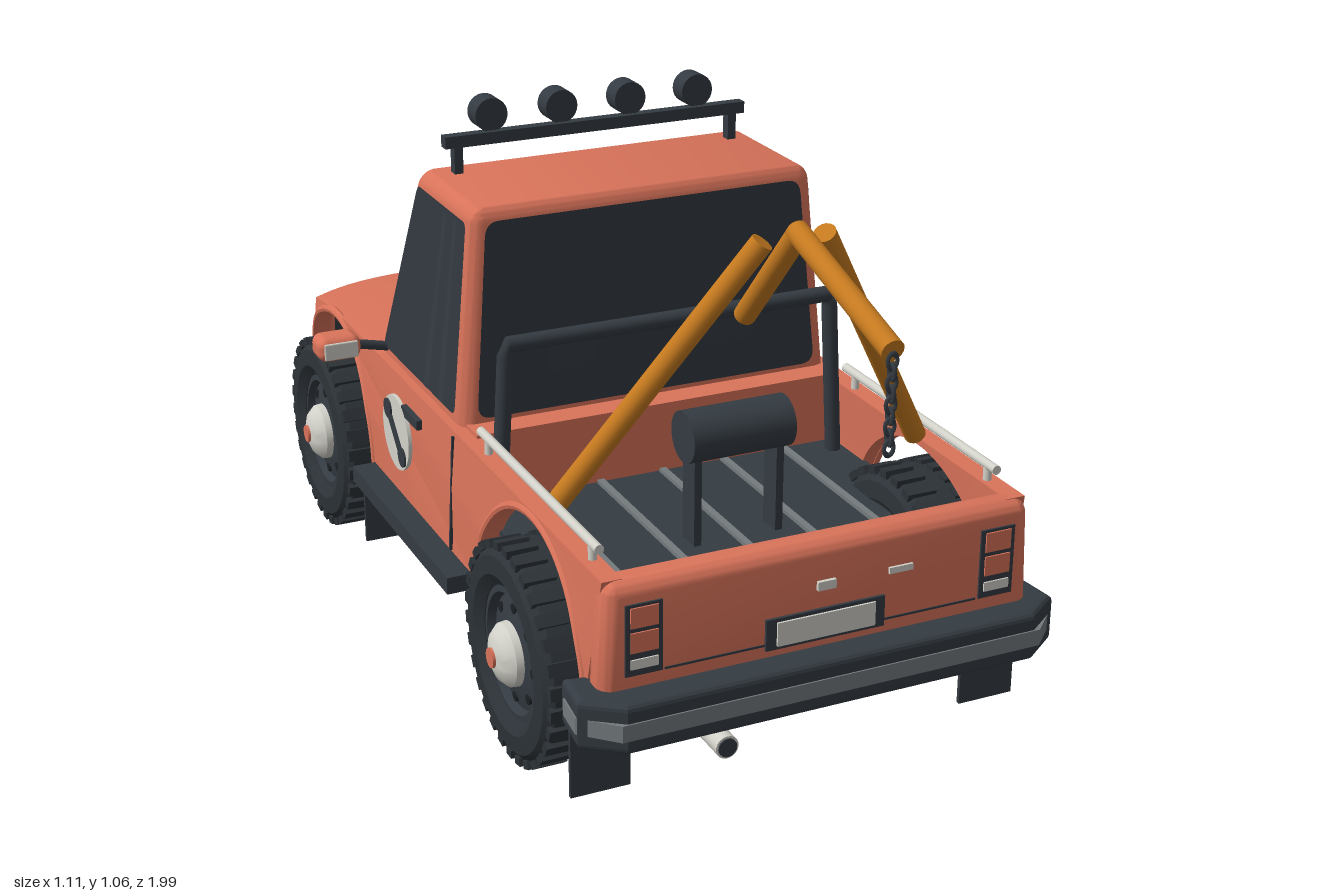
import * as THREE from 'three';
import { mergeGeometries, toCreasedNormals } from 'three/addons/utils/BufferGeometryUtils.js';
import { RoundedBoxGeometry } from 'three/addons/geometries/RoundedBoxGeometry.js';

const mat = (name, color, side = THREE.FrontSide) => {
  const m = new THREE.MeshStandardMaterial({ color, side });
  m.name = name;
  return m;
};

export function createModel() {
  const truck = new THREE.Group();
  truck.name = 'towTruck';
  const paint = mat('coral paint', 0xd9735a);
  const dark = mat('dark trim', 0x343b42);
  const rubber = mat('tyre rubber', 0x2c3237);
  const glass = mat('dark glass', 0x31383f, THREE.DoubleSide);
  const light = mat('pale grey', 0xd2d1c9);
  const steel = mat('mid grey', 0x747a7d);
  const ochre = mat('crane ochre', 0xc67a1f);
  const amber = mat('amber lens', 0xe0962a);
  const black = mat('underbody black', 0x1d2124);

  const add = (name, geo, m, x = 0, y = 0, z = 0, parent = truck) => {
    const mesh = new THREE.Mesh(geo, m);
    mesh.name = name;
    mesh.position.set(x, y, z);
    parent.add(mesh);
    return mesh;
  };
  const box = (name, m, w, h, d, x, y, z) => add(name, new THREE.BoxGeometry(w, h, d), m, x, y, z);
  const V = (x, y, z) => new THREE.Vector3(x, y, z);
  const rod = (name, m, a, b, r) => {
    const mesh = add(name, new THREE.CylinderGeometry(r, r, a.distanceTo(b), 18), m);
    mesh.position.copy(a).lerp(b, 0.5);
    mesh.quaternion.setFromUnitVectors(V(0, 1, 0), b.clone().sub(a).normalize());
    return mesh;
  };
  const warp = (geo, rule) => {
    const p = geo.attributes.position;
    for (let i = 0; i < p.count; i++) p.setXYZ(i, ...rule(p.getX(i), p.getY(i), p.getZ(i)));
    geo.computeVertexNormals();
    return toCreasedNormals(geo, 0.6);
  };

  // Body rule: sides lean in above the waist, the nose is rounded in plan
  const bend = (x, y, z) => {
    const t = Math.min(1, Math.max(0, (-0.8 - z) / 0.2));
    const k = (1 - 0.2 * Math.max(0, y - 0.35)) * (1 - 0.14 * t * t);
    return [x * k, y, z + 0.07 * t * Math.pow(Math.abs(x) / 0.43, 4)];
  };
  const bentBox = (name, m, w, h, d, x, y, z) =>
    add(name, warp(new THREE.BoxGeometry(w, h, d, 10, 1, 1).translate(x, y, z), bend), m);

  // Bonnet and nose profile, as [z, y] from the cab forward and down
  const nose = [[-0.38, 0.488], [-0.6, 0.487], [-0.72, 0.482], [-0.84, 0.468], [-0.92, 0.45], [-0.958, 0.435],
    [-0.978, 0.418], [-0.985, 0.4], [-0.985, 0.33], [-0.97, 0.27], [-0.93, 0.225]];
  const rows = [...nose].reverse();
  const bonnet = new THREE.PlaneGeometry(0.86, 1, 20, rows.length - 1);
  let n = 0;
  add('bonnet', warp(bonnet, (x) => {
    const [z, y] = rows[Math.floor(n++ / 21)];
    const crown = y > 0.41 ? 0.015 * (1 - Math.pow(x / 0.43, 4)) : 0;
    return bend(x, y + crown, z);
  }), paint);

  // Side panels with open wheel arches
  const side = new THREE.Shape();
  side.moveTo(0.78, 0.22);
  for (const z of [0.47, -0.67]) side.absarc(z, 0.22, 0.255, 0, Math.PI, false);
  rows.forEach(([z, y]) => side.lineTo(z, y));
  side.lineTo(0.78, 0.49);
  for (const s of [1, -1]) {
    const g = new THREE.ExtrudeGeometry(side, { depth: 0.04, bevelEnabled: false, curveSegments: 28 });
    g.rotateY(-Math.PI / 2).translate(s > 0 ? 0.43 : -0.39, 0, 0);
    add('sidePanel', warp(g, bend), paint);
    for (const z of [0.47, -0.67]) {
      const lip = new THREE.TorusGeometry(0.26, 0.009, 8, 32, Math.PI);
      add('wheelArchLip', warp(lip.rotateY(-Math.PI / 2).translate(s * 0.426, 0.22, z), bend), paint);
    }
  }
  add('tailgate', warp(new RoundedBoxGeometry(0.86, 0.27, 0.07, 4, 0.028).translate(0, 0.355, 0.765), bend), paint);
  box('bedFrontWall', paint, 0.78, 0.28, 0.06, 0, 0.355, 0.095);
  box('underbody', black, 0.8, 0.012, 1.7, 0, 0.21, -0.07);

  // Load bed
  box('bedFloor', dark, 0.79, 0.012, 0.63, 0, 0.345, 0.43);
  for (const x of [-0.27, -0.135, 0, 0.135, 0.27]) box('bedRib', steel, 0.014, 0.008, 0.6, x, 0.355, 0.43);

  // Cab: a rounded block whose faces lean inward; windows follow the same rule
  const cabRule = (x, y, z) => {
    const t = y / 0.43, rear = 0.07 - 0.02 * t, front = -0.43 + 0.18 * t;
    const crown = y > 0.42 ? 0.012 * (1 - (x / 0.4) ** 2) : 0;
    return [x * (1 - 0.1 * t), 0.49 + y + crown, front + (z + 0.25) / 0.5 * (rear - front)];
  };
  add('cab', warp(new RoundedBoxGeometry(0.8, 0.46, 0.5, 4, 0.03).translate(0, 0.2, 0), cabRule), paint);
  const pane = (w, y0, y1, r) => {
    const s = new THREE.Shape(), h = w / 2;
    s.moveTo(-h + r, y0).lineTo(h - r, y0).quadraticCurveTo(h, y0, h, y0 + r);
    s.lineTo(h, y1 - r).quadraticCurveTo(h, y1, h - r, y1);
    s.lineTo(-h + r, y1).quadraticCurveTo(-h, y1, -h, y1 - r);
    s.lineTo(-h, y0 + r).quadraticCurveTo(-h, y0, -h + r, y0);
    return new THREE.ShapeGeometry(s, 5);
  };
  add('rearWindow', warp(pane(0.74, 0.015, 0.405, 0.03).translate(0, 0, 0.254), cabRule), glass);
  add('windscreen', warp(pane(0.74, 0.025, 0.405, 0.03).rotateY(Math.PI).translate(0, 0, -0.255), cabRule), glass);
  for (const s of [1, -1]) {
    const sidePane = (w, z, x, y0, y1, r) =>
      warp(pane(w, y0, y1, r).rotateY(s * Math.PI / 2).translate(s * x, 0, z), cabRule);
    add('sideWindow', sidePane(0.43, 0, 0.404, 0.015, 0.4, 0.02), glass);
    add('windowPillar', sidePane(0.028, 0.145, 0.409, 0.02, 0.395, 0.005), dark);
    add('windowPillar', sidePane(0.028, 0.06, 0.409, 0.02, 0.395, 0.005), dark);
    add('headrest', pane(0.11, 0.09, 0.17, 0.02), dark, s * 0.17, 0.49, 0.077);
  }

  // Doors, sills, mirrors, mud flaps and bed rails on both sides
  for (const s of [1, -1]) {
    box('runningBoard', dark, 0.07, 0.035, 0.58, s * 0.445, 0.218, -0.11);
    box('doorHandle', dark, 0.02, 0.02, 0.095, s * 0.424, 0.435, -0.15);
    box('doorSeam', dark, 0.006, 0.24, 0.005, s * 0.427, 0.36, 0.075).rotation.z = s * 0.05;
    const badge = new THREE.Group();
    badge.name = 'doorDisc';
    badge.position.set(s * 0.431, 0.37, -0.235);
    truck.add(badge);
    add('disc', new THREE.CylinderGeometry(0.08, 0.08, 0.008, 36).rotateZ(Math.PI / 2), light, 0, 0, 0, badge);
    add('diagonalBar', new THREE.BoxGeometry(0.008, 0.11, 0.02), dark, s * 0.004, 0, 0, badge).rotation.x = -Math.PI / 4;
    for (const e of [1, -1])
      add('barEnd', new THREE.CylinderGeometry(0.021, 0.021, 0.008, 16).rotateZ(Math.PI / 2), dark, s * 0.004, e * 0.04, -e * 0.04, badge);

    rod('mirrorArm', dark, V(s * 0.38, 0.5, -0.38), V(s * 0.47, 0.522, -0.375), 0.01);
    add('mirrorShell', new RoundedBoxGeometry(0.092, 0.052, 0.07, 4, 0.02), paint, s * 0.51, 0.525, -0.375);
    add('mirrorGlass', new RoundedBoxGeometry(0.072, 0.036, 0.006, 3, 0.003), light, s * 0.51, 0.525, -0.34);
    for (const z of [0.72, -0.41]) box('mudFlap', dark, 0.115, 0.16, 0.008, s * 0.397, 0.13, z);
    rod('bedRail', light, V(s * 0.395, 0.52, 0.16), V(s * 0.395, 0.52, 0.72), 0.009);
    for (const z of [0.2, 0.69]) rod('railPost', light, V(s * 0.395, 0.48, z), V(s * 0.395, 0.52, z), 0.008);
  }

  // Hoop behind the cab
  const hoop = new THREE.CurvePath();
  const hp = [V(-0.365, 0.35, 0.17), V(-0.345, 0.69, 0.17), V(0.345, 0.69, 0.17), V(0.365, 0.35, 0.17)];
  for (let i = 0; i < 3; i++) hoop.add(new THREE.LineCurve3(hp[i], hp[i + 1]));
  add('cabHoop', new THREE.TubeGeometry(hoop, 60, 0.016, 10), dark);

  // Winch and crane
  add('winchDrum', new THREE.CylinderGeometry(0.05, 0.05, 0.21, 28).rotateZ(Math.PI / 2), dark, 0, 0.565, 0.44);
  for (const s of [1, -1]) {
    box('winchStand', dark, 0.015, 0.2, 0.05, s * 0.085, 0.45, 0.44);
    rod('craneLeg', ochre, V(s * 0.37, 0.5, 0.475), V(s * 0.06, 1.0, 0.65), 0.021);
  }
  rod('craneStrut', ochre, V(0, 0.8, 0.475), V(0, 1.015, 0.67), 0.021);
  rod('craneBoom', ochre, V(0, 1.015, 0.66), V(0, 0.912, 0.99), 0.021);
  for (let i = 0; i < 9; i++) {
    const link = add('chainLink', new THREE.TorusGeometry(0.009, 0.0038, 6, 12), dark, 0, 0.895 - i * 0.019, 0.99);
    link.scale.y = 1.4;
    link.rotation.y = (i % 2) * Math.PI / 2;
  }

  // Roof lamp bar
  box('lampBar', dark, 0.655, 0.024, 0.024, 0, 0.987, -0.19);
  for (const x of [-0.3, 0.3]) box('lampBarPost', dark, 0.018, 0.08, 0.022, x, 0.945, -0.19);
  for (const x of [-0.225, -0.075, 0.075, 0.225]) {
    add('roofLamp', new THREE.CylinderGeometry(0.034, 0.034, 0.045, 24).rotateX(Math.PI / 2), dark, x, 1.03, -0.213);
    add('roofLampLens', new THREE.CylinderGeometry(0.028, 0.028, 0.006, 24).rotateX(Math.PI / 2), light, x, 1.03, -0.237);
  }

  // Wheels: the axle points along +x
  const v2 = (r, h) => new THREE.Vector2(r, h);
  const turn = (pts, seg = 48) => toCreasedNormals(new THREE.LatheGeometry(pts, seg).rotateZ(-Math.PI / 2), 0.5);
  const tyreGeo = turn([v2(0.12, -0.07), v2(0.15, -0.085), v2(0.185, -0.082), v2(0.203, -0.065), v2(0.205, 0),
    v2(0.203, 0.065), v2(0.185, 0.082), v2(0.15, 0.085), v2(0.128, 0.07), v2(0.122, 0.045)]);
  const lugs = [];
  for (let i = 0; i < 30; i++) for (const s of [1, -1])
    lugs.push(new THREE.BoxGeometry(0.062, 0.016, 0.024).translate(s * 0.046, 0.204, 0)
      .rotateX((i + (s > 0 ? 0 : 0.5)) * Math.PI / 15));
  const lugGeo = mergeGeometries(lugs);
  const rimGeo = turn([v2(0, -0.06), v2(0.124, -0.06), v2(0.13, 0.068), v2(0.115, 0.07), v2(0.108, 0.055), v2(0.07, 0.065), v2(0, 0.07)]);
  const capGeo = turn([v2(0.062, 0.06), v2(0.06, 0.08), v2(0.045, 0.096), v2(0.025, 0.104), v2(0, 0.106)], 32);
  for (const s of [1, -1]) for (const z of [0.47, -0.66]) {
    const wheel = new THREE.Group();
    wheel.name = 'wheel';
    wheel.position.set(s * 0.395, 0.213, z);
    if (s < 0) wheel.rotation.y = Math.PI;
    truck.add(wheel);
    add('tyre', tyreGeo, rubber, 0, 0, 0, wheel);
    add('tread', lugGeo, rubber, 0, 0, 0, wheel);
    add('rim', rimGeo, dark, 0, 0, 0, wheel);
    add('hubCap', capGeo, light, 0, 0, 0, wheel);
    add('hubNut', new THREE.CylinderGeometry(0.019, 0.019, 0.012, 16).rotateZ(Math.PI / 2), paint, 0.104, 0, 0, wheel);
    for (let i = 0; i < 8; i++) {
      const a = i * Math.PI / 4;
      add('rimHole', new THREE.CylinderGeometry(0.01, 0.01, 0.006, 12).rotateZ(Math.PI / 2), black, 0.06, 0.09 * Math.cos(a), 0.09 * Math.sin(a), wheel);
    }
  }

  // Rear bumper, wrapped round the corners
  const bumper = (name, m, grow, y, h, bevel) => {
    const s = new THREE.Shape(), e = grow;
    const half = [[0.455 + e, 0.73], [0.462 + e, 0.80], [0.4 + e, 0.845 + e]];
    s.moveTo(0.41, 0.74 * -1);
    half.forEach(([x, z]) => s.lineTo(x, -z));
    [...half].reverse().forEach(([x, z]) => s.lineTo(-x, -z));
    s.lineTo(-0.41, -0.74).lineTo(-0.4, -0.79).lineTo(0.4, -0.79);
    const g = new THREE.ExtrudeGeometry(s, { depth: h - 2 * bevel, bevelEnabled: bevel > 0, bevelSize: bevel, bevelThickness: bevel, bevelSegments: 3 });
    add(name, g.rotateX(-Math.PI / 2), m, 0, y + bevel, 0);
  };
  bumper('rearBumper', dark, 0, 0.195, 0.095, 0.012);
  bumper('rearBumperStrip', steel, 0.015, 0.225, 0.032, 0);

  // Tail lamps, number plate holder, handles and exhaust
  for (const s of [1, -1]) {
    box('tailLampFrame', dark, 0.07, 0.135, 0.012, s * 0.35, 0.382, 0.798);
    for (const y of [0.425, 0.378]) box('tailLampLens', paint, 0.052, 0.038, 0.008, s * 0.35, y, 0.803);
    box('reversingLamp', light, 0.052, 0.018, 0.008, s * 0.35, 0.337, 0.803);
  }
  box('tailgateSeam', dark, 0.62, 0.004, 0.006, 0, 0.315, 0.799);
  box('rearPlateHolder', dark, 0.236, 0.06, 0.012, 0, 0.335, 0.8);
  box('rearPlate', light, 0.195, 0.046, 0.008, 0, 0.335, 0.806);
  box('tailgateLatch', light, 0.036, 0.017, 0.01, 0, 0.41, 0.802);
  box('tailgateTrim', light, 0.048, 0.012, 0.008, 0.15, 0.41, 0.801);
  rod('exhaust', light, V(-0.2, 0.145, 0.74), V(-0.2, 0.145, 0.825), 0.022);
  rod('exhaustBore', dark, V(-0.2, 0.145, 0.8), V(-0.2, 0.145, 0.828), 0.018);

  // Nose: grille, headlamps, indicators, plate and lower trim
  bentBox('noseFrame', dark, 0.8, 0.082, 0.01, 0, 0.377, -0.984);
  for (let i = 0; i < 4; i++) bentBox('grilleBar', steel, 0.4, 0.006, 0.01, 0, 0.35 + i * 0.018, -0.987);
  for (let i = -7; i <= 7; i++) bentBox('grilleSlat', steel, 0.005, 0.062, 0.01, i * 0.028, 0.377, -0.986);
  for (const s of [1, -1]) {
    for (const x of [0.265, 0.352]) bentBox('headlamp', light, 0.08, 0.064, 0.012, s * x, 0.377, -0.988);
    bentBox('indicator', amber, 0.024, 0.04, 0.05, s * 0.424, 0.377, -0.96);
  }
  bentBox('frontPlate', light, 0.2, 0.042, 0.01, 0, 0.295, -0.982);
  bentBox('frontStrip', steel, 0.62, 0.018, 0.03, 0, 0.238, -0.945);
  rod('frontCrossTube', dark, V(-0.13, 0.205, -0.9), V(0.13, 0.205, -0.9), 0.03);
  for (const s of [1, -1]) rod('bonnetSeam', dark, V(s * 0.16, 0.502, -0.45), V(s * 0.155, 0.4825, -0.85), 0.0018);
  return truck;
}
